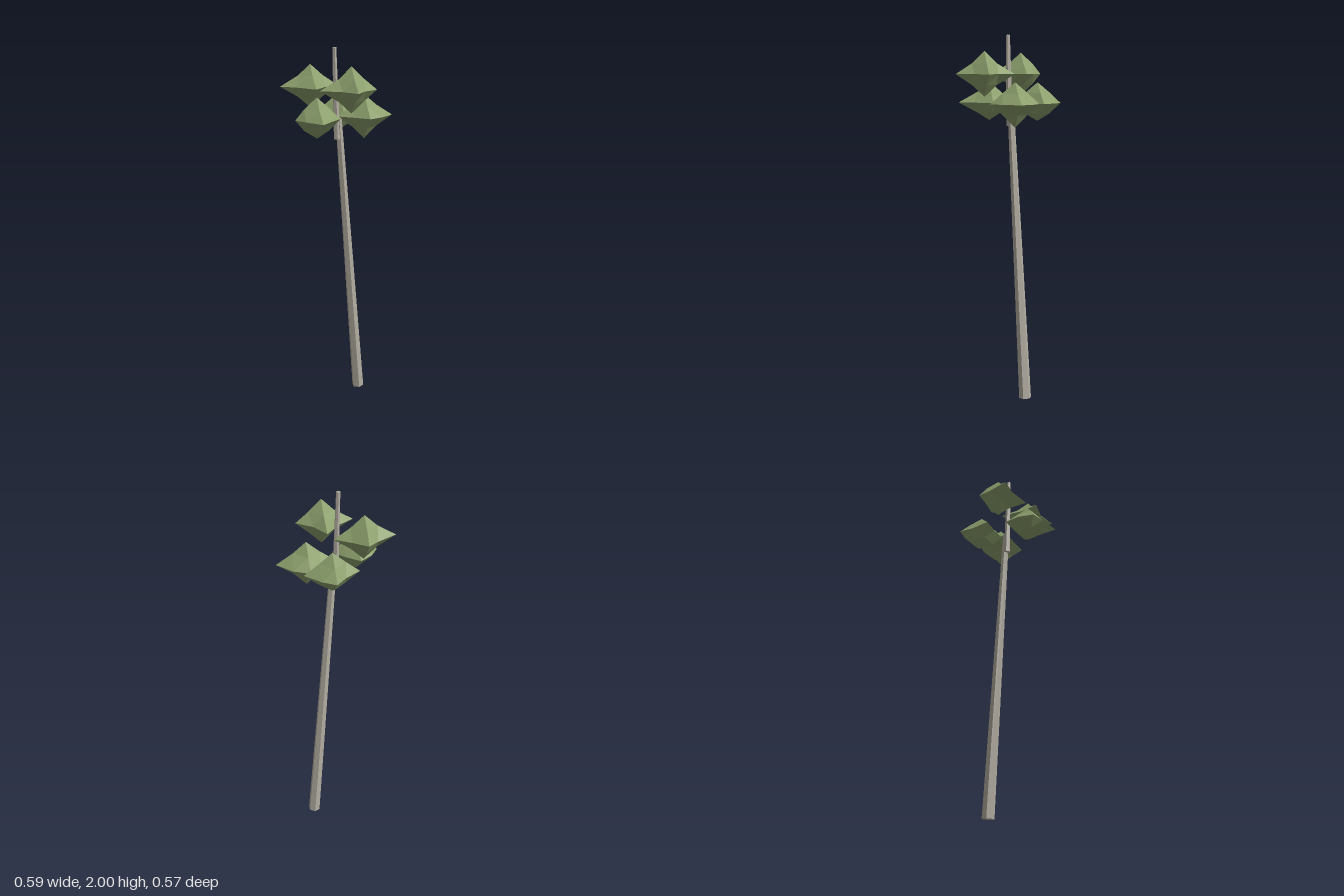
import * as THREE from 'three';

const bark = new THREE.MeshStandardMaterial({ color: 0xb3aea2, flatShading: true });
const leaf = new THREE.MeshStandardMaterial({ color: 0x8c9f6c, flatShading: true });

// Tapered six-sided pole between two points
function pole(name, from, to, r0, r1) {
  const a = new THREE.Vector3(...from), b = new THREE.Vector3(...to);
  const dir = b.clone().sub(a);
  const mesh = new THREE.Mesh(new THREE.CylinderGeometry(r1, r0, dir.length(), 6), bark);
  mesh.position.copy(a).add(b).multiplyScalar(0.5);
  mesh.quaternion.setFromUnitVectors(new THREE.Vector3(0, 1, 0), dir.normalize());
  mesh.name = name;
  return mesh;
}

// Spiky clump: subdivided octahedron whose tips reach out to set lengths.
// tips: +x, -x, +z, -z, +y, -y; mids: [x, z] for the four level diagonals, keyed by signs.
function clump({ at, tips, mids }) {
  const geo = new THREE.OctahedronGeometry(1, 1);
  const p = geo.attributes.position;
  const [px, nx, pz, nz, py, ny] = tips;
  for (let i = 0; i < p.count; i++) {
    const s = [p.getX(i), p.getY(i), p.getZ(i)].map(v => (Math.abs(v) < 0.01 ? 0 : Math.sign(v)));
    const [sx, sy, sz] = s;
    if (Math.abs(sx) + Math.abs(sy) + Math.abs(sz) === 1) {
      p.setXYZ(i, sx > 0 ? px : -nx * Math.abs(sx), sy > 0 ? py : -ny * Math.abs(sy), sz > 0 ? pz : -nz * Math.abs(sz));
    } else if (sy === 0) {
      const m = mids[(sx > 0 ? 0 : 1) + (sz > 0 ? 0 : 2)];
      p.setXYZ(i, sx * m[0], 0, sz * m[1]);
    } else {
      p.setXYZ(i, sx * 0.067, sy * 0.056, sz * 0.067);
    }
  }
  geo.computeVertexNormals();
  const mesh = new THREE.Mesh(geo, leaf);
  mesh.position.set(...at);
  return mesh;
}

// mids order: (+x+z), (-x+z), (+x-z), (-x-z)
const CLUMPS = [
  { at: [-0.134, 1.795, -0.103], tips: [0.151, 0.163, 0.17, 0.112, 0.115, 0.115],
    mids: [[0.069, 0.063], [0.081, 0.063], [0.074, 0.052], [0.053, 0.067]] },
  { at: [0.035, 1.795, 0.13], tips: [0.135, 0.165, 0.153, 0.165, 0.12, 0.118],
    mids: [[0.055, 0.063], [0.06, 0.063], [0.055, 0.063], [0.08, 0.063]] },
  { at: [0.035, 1.642, -0.158], tips: [0.143, 0.14, 0.128, 0.128, 0.11, 0.095],
    mids: [[0.06, 0.058], [0.06, 0.065], [0.065, 0.085], [0.055, 0.064]] },
  { at: [0.14, 1.642, -0.013], tips: [0.155, 0.15, 0.133, 0.13, 0.112, 0.122],
    mids: [[0.078, 0.083], [0.065, 0.07], [0.082, 0.087], [0.065, 0.07]] },
  { at: [-0.134, 1.642, 0.075], tips: [0.125, 0.114, 0.17, 0.13, 0.115, 0.098],
    mids: [[0.055, 0.09], [0.07, 0.07], [0.065, 0.07], [0.07, 0.075]] },
];

export function createModel() {
  const tree = new THREE.Group();
  tree.name = 'tree';

  // Leaning trunk and its thin tip
  tree.add(pole('trunk', [0.133, 0.004, -0.075], [0, 1.64, -0.018], 0.034, 0.018));
  tree.add(pole('trunkTip', [-0.008, 1.52, -0.015], [-0.024, 2, -0.008], 0.018, 0.011));

  // Foliage around the crown
  const foliage = new THREE.Group();
  foliage.name = 'foliage';
  CLUMPS.forEach((c, i) => {
    const mesh = clump(c);
    mesh.name = `leafClump${i + 1}`;
    foliage.add(mesh);
  });
  tree.add(foliage);
  return tree;
}
